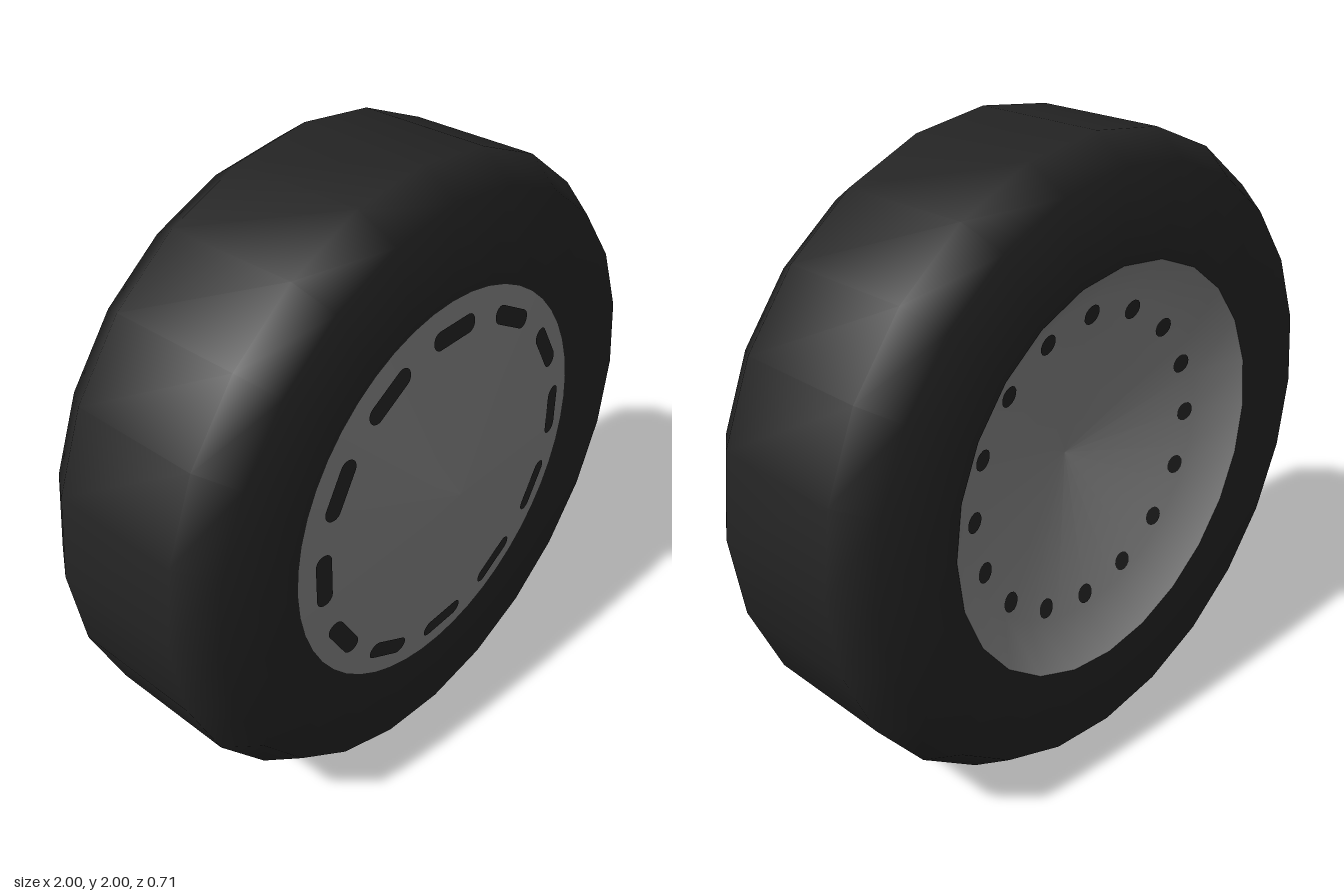
import * as THREE from 'three';

const rubber = new THREE.MeshStandardMaterial({ color: 0x232323 });
rubber.name = 'black rubber';
const metal = new THREE.MeshStandardMaterial({ color: 0x838383 });
metal.name = 'grey metal';

// Solid of revolution around the wheel axle (z); points are [radius, z]
function turned(name, points, segments, material) {
  const profile = points.map(([r, z]) => new THREE.Vector2(r, z));
  const geometry = new THREE.LatheGeometry(profile, segments).rotateX(Math.PI / 2);
  const mesh = new THREE.Mesh(geometry, material);
  mesh.name = name;
  return mesh;
}

// Ring of thin marks, each tilted to lie on the conical surface
function markRing(name, geometry, count, radius, z, tilt) {
  const ring = new THREE.Group();
  ring.name = name + 's';
  for (let i = 0; i < count; i++) {
    const spoke = new THREE.Group();
    spoke.rotation.z = (i / count) * Math.PI * 2;
    const mark = new THREE.Mesh(geometry, rubber);
    mark.name = name;
    mark.position.set(0, radius, z);
    mark.rotation.x = tilt;
    spoke.add(mark);
    ring.add(spoke);
  }
  return ring;
}

// Rounded slot outline
function slotShape(length, width) {
  const r = width / 2, h = length / 2 - r;
  const shape = new THREE.Shape();
  shape.absarc(h, 0, r, -Math.PI / 2, Math.PI / 2, false);
  shape.absarc(-h, 0, r, Math.PI / 2, Math.PI * 1.5, false);
  return shape;
}

export function createModel() {
  const model = new THREE.Group();
  model.name = 'wheel';
  const wheel = new THREE.Group();
  wheel.name = 'wheelAssembly';
  wheel.position.y = 1;
  model.add(wheel);

  // Tyre with chamfered shoulders
  wheel.add(turned('tyre', [
    [0.65, -0.355], [0.925, -0.355], [1, -0.245], [1, 0.18], [0.925, 0.292], [0.63, 0.292],
  ], 24, rubber));

  // Shallow cone hubcap on the front
  const capRadius = 0.637, capBase = 0.292, capTip = 0.354;
  wheel.add(turned('hubcap', [[capRadius, capBase], [0, capTip]], 48, metal));

  // Dished rim on the back
  const floorRadius = 0.52, floorEdge = -0.25, floorCentre = -0.15;
  wheel.add(turned('rimDish', [
    [0, floorCentre], [floorRadius, floorEdge], [0.65, -0.355],
  ], 24, metal));

  // Slots around the hubcap
  const capSlope = (capTip - capBase) / capRadius, slotRadius = 0.545;
  wheel.add(markRing('ventSlot', new THREE.ShapeGeometry(slotShape(0.182, 0.058), 8), 12,
    slotRadius, capTip - capSlope * slotRadius + 0.003, -Math.atan(capSlope)));

  // Round holes around the rim dish
  const dishSlope = (floorCentre - floorEdge) / floorRadius, holeRadius = 0.478;
  wheel.add(markRing('rimHole', new THREE.CircleGeometry(0.032, 14), 16,
    holeRadius, floorCentre - dishSlope * holeRadius - 0.004, Math.PI - Math.atan(dishSlope)));

  return model;
}
